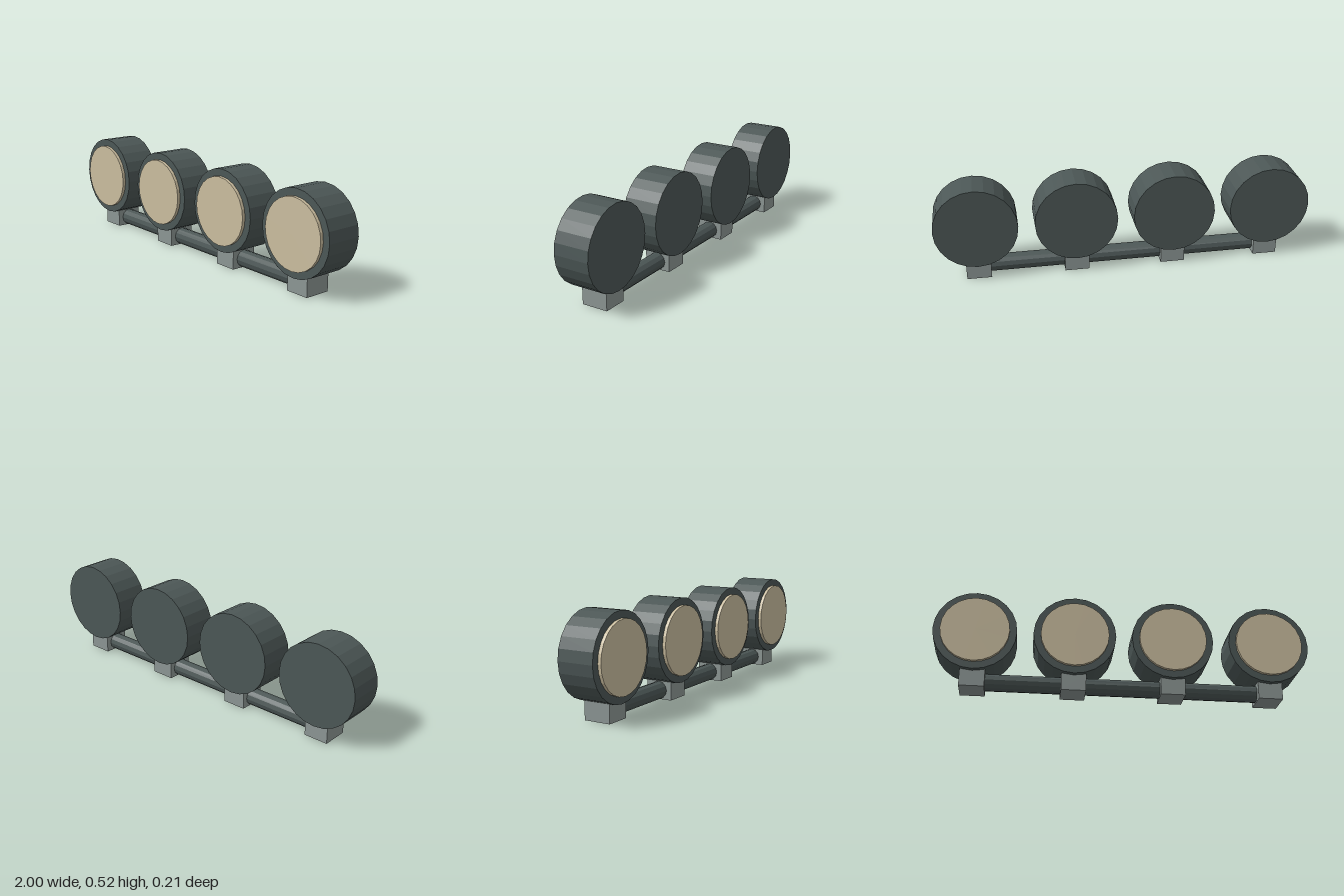
import * as THREE from 'three';

export function createModel() {
  const model = new THREE.Group();
  model.name = 'lightBar';

  const paint = (name, color) => {
    const m = new THREE.MeshStandardMaterial({ color, flatShading: true });
    m.name = name;
    return m;
  };
  const darkMetal = paint('darkMetal', 0x4c5756);
  const greyMetal = paint('greyMetal', 0x8c9694);
  const glass = paint('creamGlass', 0xcabd9f);

  const add = (parent, name, geometry, material, x, y, z) => {
    const mesh = new THREE.Mesh(geometry, material);
    mesh.name = name;
    mesh.position.set(x, y, z);
    parent.add(mesh);
  };

  // Round drum whose axis runs front to back
  const drum = (radius, depth) =>
    new THREE.CylinderGeometry(radius, radius, depth, 24).rotateX(Math.PI / 2);
  const housing = drum(0.218, 0.193);
  const lens = drum(0.18, 0.037);
  const mount = new THREE.BoxGeometry(0.13, 0.096, 0.142);

  // Four lamps, each on its own block
  for (let i = 0; i < 4; i++) {
    const lamp = new THREE.Group();
    lamp.name = `lamp${i + 1}`;
    lamp.position.x = (i - 1.5) * 0.5213;
    add(lamp, 'housing', housing, darkMetal, 0, 0.302, -0.0085);
    add(lamp, 'lens', lens, glass, 0, 0.302, 0.0865);
    add(lamp, 'mount', mount, greyMetal, 0, 0.048, -0.009);
    model.add(lamp);
  }

  // Tube joining the blocks
  const tube = new THREE.CylinderGeometry(0.045, 0.045, 1.6, 12).rotateZ(Math.PI / 2);
  add(model, 'crossTube', tube, darkMetal, 0, 0.048, -0.009);

  return model;
}
